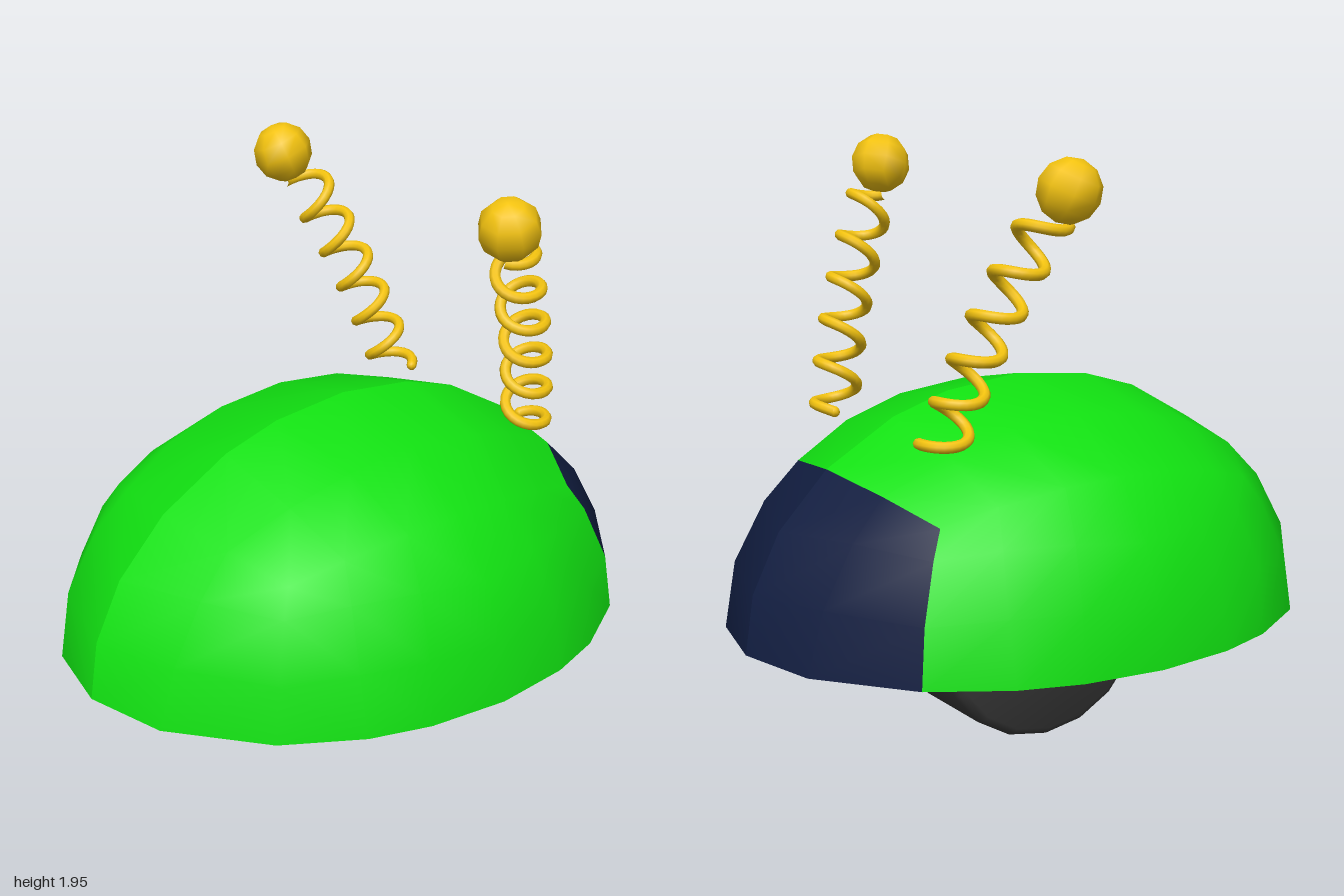
import * as THREE from 'three';
import { mergeGeometries, mergeVertices, toCreasedNormals } from 'three/addons/utils/BufferGeometryUtils.js';

const BASE = 0.42;
const mat = (color, side = THREE.FrontSide) => new THREE.MeshStandardMaterial({ color, side });

// piecewise linear lookup, odd in t
function node(table, t) {
  const f = Math.abs(t) * (table.length - 1);
  const i = Math.min(Math.floor(f), table.length - 2);
  return Math.sign(t) * (table[i] + (table[i + 1] - table[i]) * (f - i));
}

// half-cube coordinate (a across, b up, c along) pushed out to the ellipsoid
function domePoint(a, b, c) {
  const A = Math.abs(a), C = Math.abs(c);
  const x = node([0, 0.38 + 0.09 * b + 0.05 * b * C, 1], a);
  const y = node([0, 0.25 + 0.1 * A * C, 0.55 + 0.2 * A * C, 1], b);
  const z = node([0, 0.28, 0.53 + 0.1 * A * b, 1], c);
  const p = new THREE.Vector3(x, y, z).normalize();
  return p.multiply(new THREE.Vector3(0.81, 0.78, 1)).add(new THREE.Vector3(0, BASE, 0));
}

// grid of quads over a cube face, always wound outwards
function patch(fn, nu, nv) {
  const pos = [], index = [];
  for (let j = 0; j <= nv; j++)
    for (let i = 0; i <= nu; i++) pos.push(fn(i / nu, j / nv));
  const tri = (a, b, c) => {
    const n = pos[b].clone().sub(pos[a]).cross(pos[c].clone().sub(pos[a]));
    const out = pos[a].clone().add(pos[b]).add(pos[c]).divideScalar(3);
    out.y -= BASE;
    if (n.dot(out) < 0) index.push(a, c, b); else index.push(a, b, c);
  };
  for (let j = 0; j < nv; j++)
    for (let i = 0; i < nu; i++) {
      const k = j * (nu + 1) + i, m = k + nu + 1;
      tri(k, k + 1, m + 1);
      tri(k, m + 1, m);
    }
  const g = new THREE.BufferGeometry().setFromPoints(pos);
  g.setIndex(index);
  return g;
}

// coiled antenna, slightly bowed, for the +x side
class Coil extends THREE.Curve {
  getPoint(t, target = new THREE.Vector3()) {
    const d = new THREE.Vector3(0.2, 0.72, 0.16 + 0.24 * t).normalize();
    const u = new THREE.Vector3(1, 0, 0).addScaledVector(d, -d.x).normalize();
    const v = u.clone().cross(d);
    const ang = 0.5 + t * 5.6 * Math.PI * 2;
    const r = 0.068;
    return target.set(0.335 + 0.19 * t, 1.06 + 0.72 * t, -0.5 + 0.16 * t + 0.11 * t * t)
      .addScaledVector(u, -r * Math.cos(ang))
      .addScaledVector(v, -r * Math.sin(ang));
  }
}

export function createModel() {
  const model = new THREE.Group();
  model.name = 'domedRobot';
  const add = (parent, name, geometry, material) => {
    const mesh = new THREE.Mesh(geometry, material);
    mesh.name = name;
    parent.add(mesh);
    return mesh;
  };
  const green = mat(0x11e011), navy = mat(0x111d40), gold = mat(0xf2c20f), dark = mat(0x383838);

  // dome half: front, flank and top
  const shell = mergeVertices(mergeGeometries([
    patch((u, v) => domePoint(u, v, 1), 2, 3),
    patch((u, v) => domePoint(1, v, u * 2 - 1), 6, 3),
    patch((u, v) => domePoint(u, 1, v * 2 - 1), 2, 6),
  ]), 1e-4);
  shell.computeVertexNormals();

  // rear panel half
  const panel = patch((u, v) => domePoint(u, v, -1), 2, 3);
  panel.computeVertexNormals();

  const coil = new THREE.TubeGeometry(new Coil(), 130, 0.018, 8);

  // both mirrored sides
  for (const s of [1, -1]) {
    const side = new THREE.Group();
    side.name = s > 0 ? 'leftSide' : 'rightSide';
    side.scale.x = s;
    add(side, 'domeShell', shell, green);
    add(side, 'rearPanel', panel, navy);
    add(side, 'antennaSpring', coil, gold);
    const tip = add(side, 'antennaTip', new THREE.SphereGeometry(0.1, 8, 6), gold);
    tip.position.set(0.56, 1.85, -0.185);
    tip.rotation.set(0.45, 0.4, -0.25);
    const end = add(side, 'springEnd', new THREE.SphereGeometry(0.018, 8, 6), gold);
    end.position.copy(new Coil().getPoint(0));
    model.add(side);
  }

  // flat underside, following the rim
  const rim = [];
  for (let i = 0; i <= 2; i++) rim.push(domePoint(i / 2, 0, 1));
  for (let i = 1; i <= 6; i++) rim.push(domePoint(1, 0, 1 - i / 3));
  rim.push(domePoint(0.5, 0, -1), domePoint(0, 0, -1));
  const outline = rim.map(p => new THREE.Vector2(p.x, p.z));
  for (let i = rim.length - 2; i > 0; i--) outline.push(new THREE.Vector2(-rim[i].x, rim[i].z));
  const floor = new THREE.ShapeGeometry(new THREE.Shape(outline)).rotateX(Math.PI / 2);
  add(model, 'underside', floor, green).position.y = BASE;

  // wheel with rounded shoulders
  const profile = [[0, -0.195], [0.37, -0.195], [0.39, -0.182], [0.4, -0.16],
    [0.4, 0.16], [0.39, 0.182], [0.37, 0.195], [0, 0.195]].map(p => new THREE.Vector2(...p));
  const wheel = new THREE.LatheGeometry(profile, 18, Math.PI / 2).rotateZ(Math.PI / 2);
  add(model, 'wheel', toCreasedNormals(wheel, 0.7), dark).position.y = 0.4;

  return model;
}
